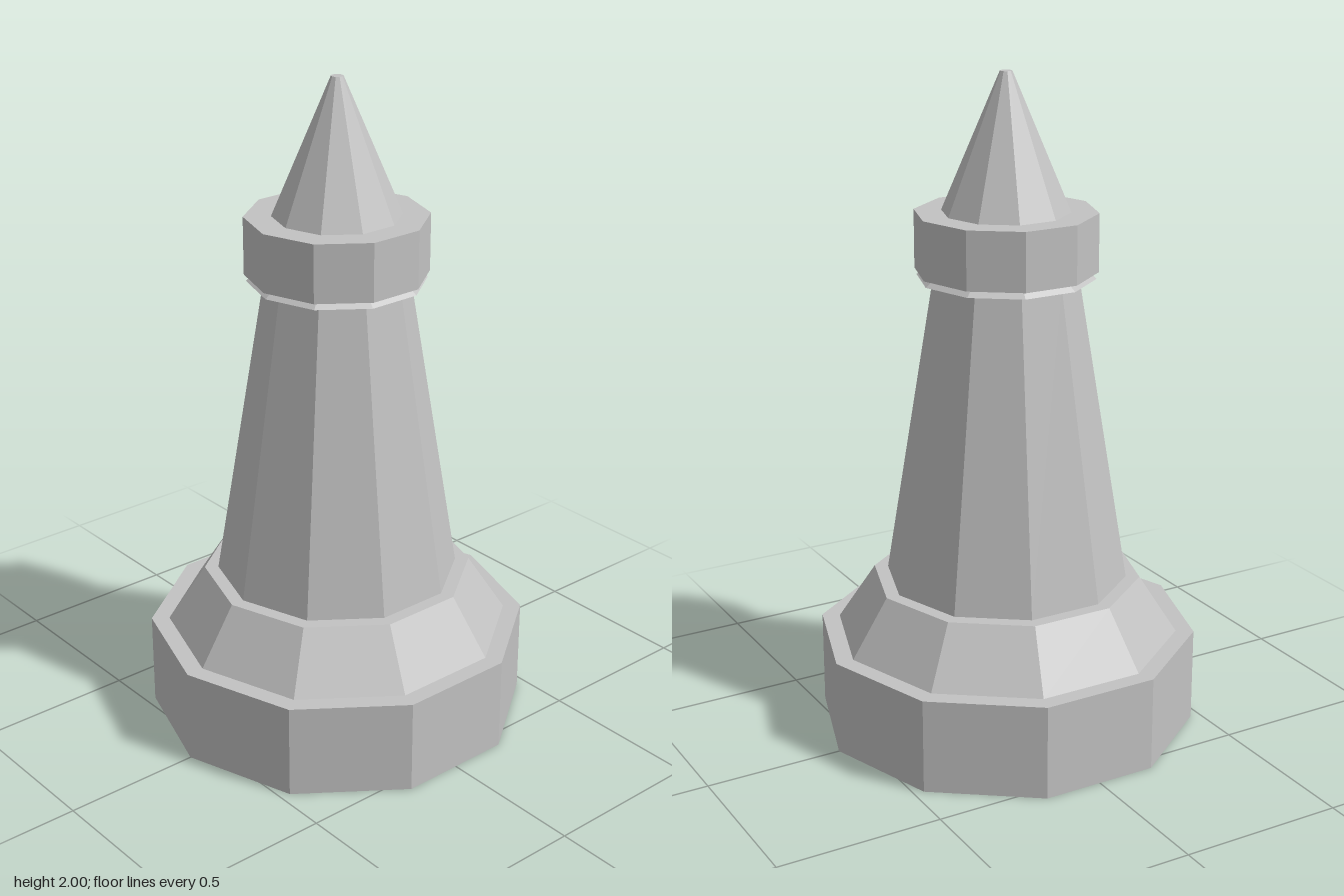
import * as THREE from 'three';

const SIDES = 10;

export function createModel() {
  const group = new THREE.Group();
  const stone = new THREE.MeshStandardMaterial({ color: 0xc2c2c2, flatShading: true });
  stone.name = 'grey stone';

  // Ten-sided tier with corners on the x axis
  const tier = (name, y0, y1, rBottom, rTop) => {
    const geometry = new THREE.CylinderGeometry(rTop, rBottom, y1 - y0, SIDES, 1, false, Math.PI / 2);
    const mesh = new THREE.Mesh(geometry, stone);
    mesh.name = name;
    mesh.position.y = (y0 + y1) / 2;
    group.add(mesh);
  };

  tier('base', 0, 0.29, 0.58, 0.58);
  tier('slopedPlinth', 0.29, 0.465, 0.525, 0.41);
  tier('taperedTower', 0.465, 1.4, 0.368, 0.215);
  // Thin bevelled lip under the collar
  tier('collarLip', 1.4, 1.42, 0.265, 0.24);
  tier('collar', 1.42, 1.595, 0.271, 0.271);
  // Pointed roof with a small flat tip
  tier('spire', 1.595, 2, 0.19, 0.018);

  return group;
}
